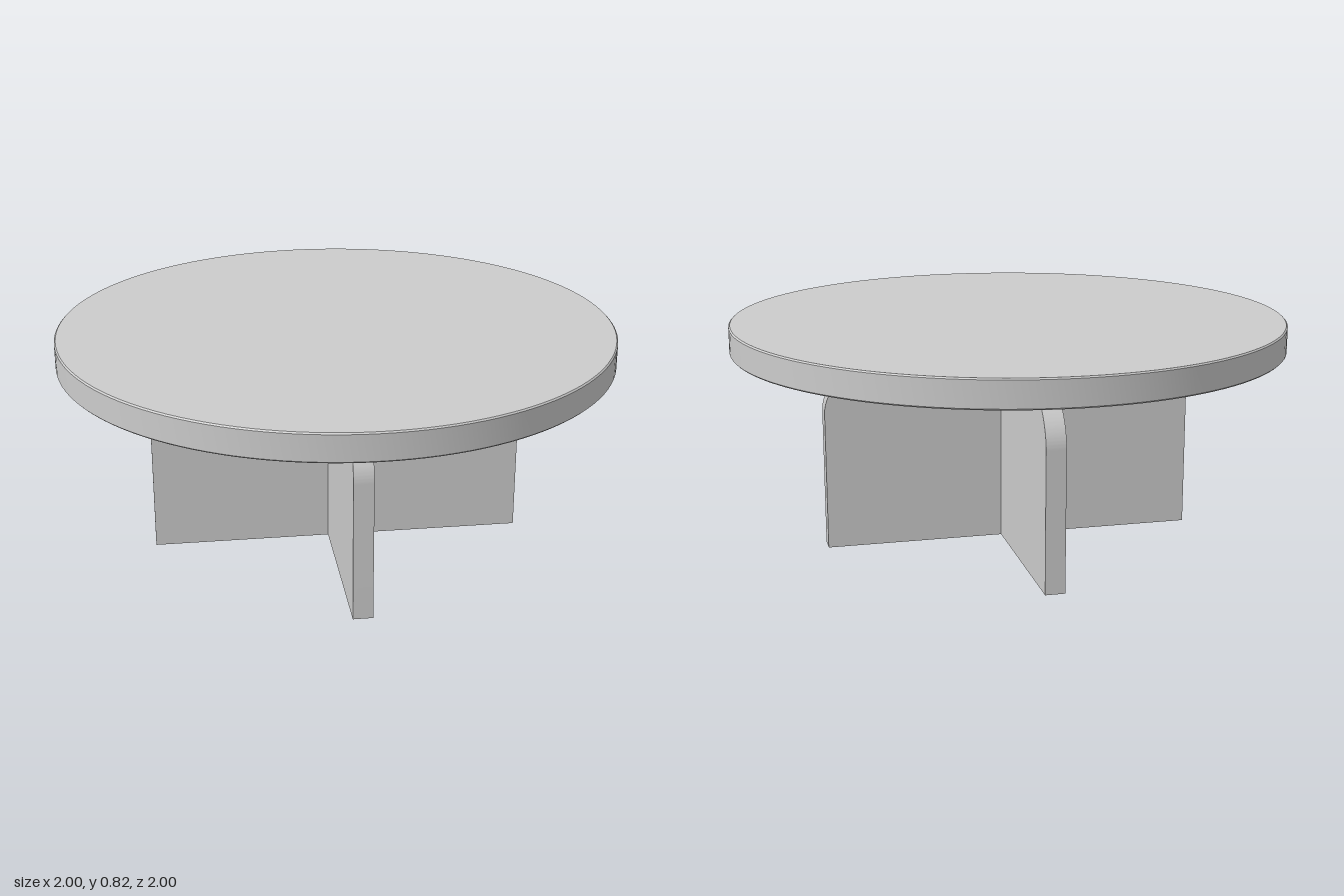
import * as THREE from 'three';
import { toCreasedNormals } from 'three/addons/utils/BufferGeometryUtils.js';

const material = new THREE.MeshStandardMaterial({ color: 0xcccccc });
const TOP_Y = 0.82, UNDER_Y = 0.72, THICK = 0.07, HALF = 0.68;

// Upright board from xStart out to the rounded shoulder; full boards mirror the shoulder.
function boardGeometry(xStart, full) {
  const rx = 0.45, ry = 0.25, shoulder = 0.5;
  const end = Math.asin((UNDER_Y - shoulder) / ry);
  const shape = new THREE.Shape();
  shape.moveTo(full ? -HALF : xStart, 0);
  shape.lineTo(HALF, 0);
  shape.absellipse(HALF - rx, shoulder, rx, ry, 0, end, false);
  if (full) shape.absellipse(rx - HALF, shoulder, rx, ry, Math.PI - end, Math.PI, false);
  else shape.lineTo(xStart, UNDER_Y);
  shape.closePath();
  const geo = new THREE.ExtrudeGeometry(shape, { depth: THICK, bevelEnabled: false, curveSegments: 24 });
  geo.translate(0, 0, -THICK / 2);
  return toCreasedNormals(geo, 0.5);
}

export function createModel() {
  const group = new THREE.Group();
  const add = (name, geo, turn = 0) => {
    const mesh = new THREE.Mesh(geo, material);
    mesh.name = name;
    mesh.rotation.y = turn;
    group.add(mesh);
  };

  // Round top with a slightly softened rim
  const e = 0.005;
  const rim = [[0, UNDER_Y], [1 - e, UNDER_Y], [1, UNDER_Y + e], [1, TOP_Y - e], [1 - e, TOP_Y], [0, TOP_Y]];
  const top = new THREE.LatheGeometry(rim.map(([x, y]) => new THREE.Vector2(x, y)), 128);
  add('tableTop', toCreasedNormals(top, 0.5));

  // Crossed base: one full board and two wings meeting it
  add('crossBoard', boardGeometry(0, true));
  const wing = boardGeometry(THICK / 2, false);
  add('frontWing', wing, -Math.PI / 2);
  add('backWing', wing, Math.PI / 2);

  return group;
}
